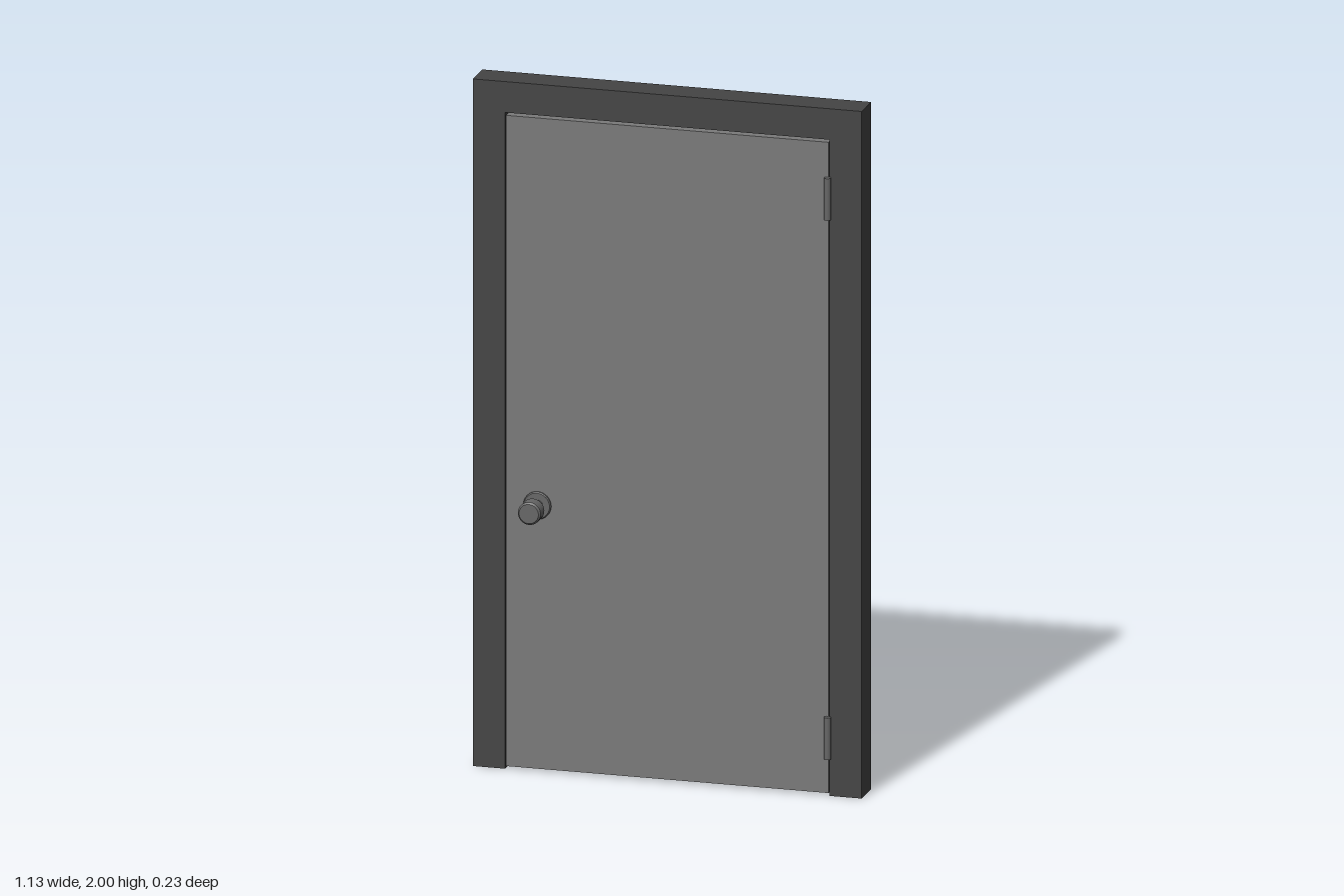
import * as THREE from 'three';

export function createModel() {
  const model = new THREE.Group();
  const frameMat = new THREE.MeshStandardMaterial({ color: 0x444444 });
  const doorMat = new THREE.MeshStandardMaterial({ color: 0x7a7a7a });
  const metalMat = new THREE.MeshStandardMaterial({ color: 0x666666 });

  const add = (parent, name, geometry, material, x = 0, y = 0, z = 0) => {
    const mesh = new THREE.Mesh(geometry, material);
    mesh.name = name;
    mesh.position.set(x, y, z);
    parent.add(mesh);
    return mesh;
  };

  // Door frame: two jambs and a header, open at the bottom
  const outer = 0.563, inner = 0.47, headerY = 1.91;
  const outline = new THREE.Shape([
    [-outer, 0], [-inner, 0], [-inner, headerY], [inner, headerY],
    [inner, 0], [outer, 0], [outer, 2], [-outer, 2],
  ].map(([x, y]) => new THREE.Vector2(x, y)));
  add(model, 'doorFrame',
    new THREE.ExtrudeGeometry(outline, { depth: 0.094, bevelEnabled: false }),
    frameMat, 0, 0, -0.072);

  // Door panel, flush with the front of the frame and recessed at the back
  const doorZ = -0.002, halfDepth = 0.024, bottom = 0.008, top = 1.902;
  add(model, 'doorPanel', new THREE.BoxGeometry(0.934, top - bottom, halfDepth * 2),
    doorMat, 0, (bottom + top) / 2, doorZ);

  // Handle profile, as radius and distance from the middle of the door;
  // repeated points keep the edges sharp
  const profile = [
    [0.04, 0.022], [0.04, 0.029], [0.04, 0.029], [0.037, 0.032], [0.037, 0.032],
    [0.018, 0.032], [0.018, 0.032], [0.018, 0.067], [0.018, 0.067],
    [0.029, 0.067], [0.029, 0.067], [0.033, 0.071], [0.033, 0.071],
    [0.033, 0.108], [0.033, 0.108], [0.028, 0.113], [0.028, 0.113], [0, 0.113],
  ];
  // One lathe per segment so that each facet ring has its own normals
  const addKnob = (name, side) => {
    const knob = new THREE.Group();
    knob.name = name;
    for (let i = 0; i < profile.length - 1; i++) {
      const [a, b] = [profile[i], profile[i + 1]];
      if (a[0] === b[0] && a[1] === b[1]) continue;
      const part = b[1] <= 0.032 ? 'rosette' : b[1] <= 0.067 && b[0] < 0.02 ? 'spindle' : 'grip';
      add(knob, part, new THREE.LatheGeometry(
        [new THREE.Vector2(...a), new THREE.Vector2(...b)], 32), metalMat);
    }
    knob.rotation.x = side * Math.PI / 2;
    knob.position.set(-0.376, 0.775, doorZ);
    model.add(knob);
  };
  addKnob('frontKnob', 1);
  addKnob('backKnob', -1);

  // Hinge barrels on the front
  for (const [name, y] of [['lowerHinge', 0.17], ['upperHinge', 1.74]]) {
    add(model, name, new THREE.CylinderGeometry(0.01, 0.01, 0.122, 20), metalMat, 0.466, y, 0.03);
  }

  return model;
}
